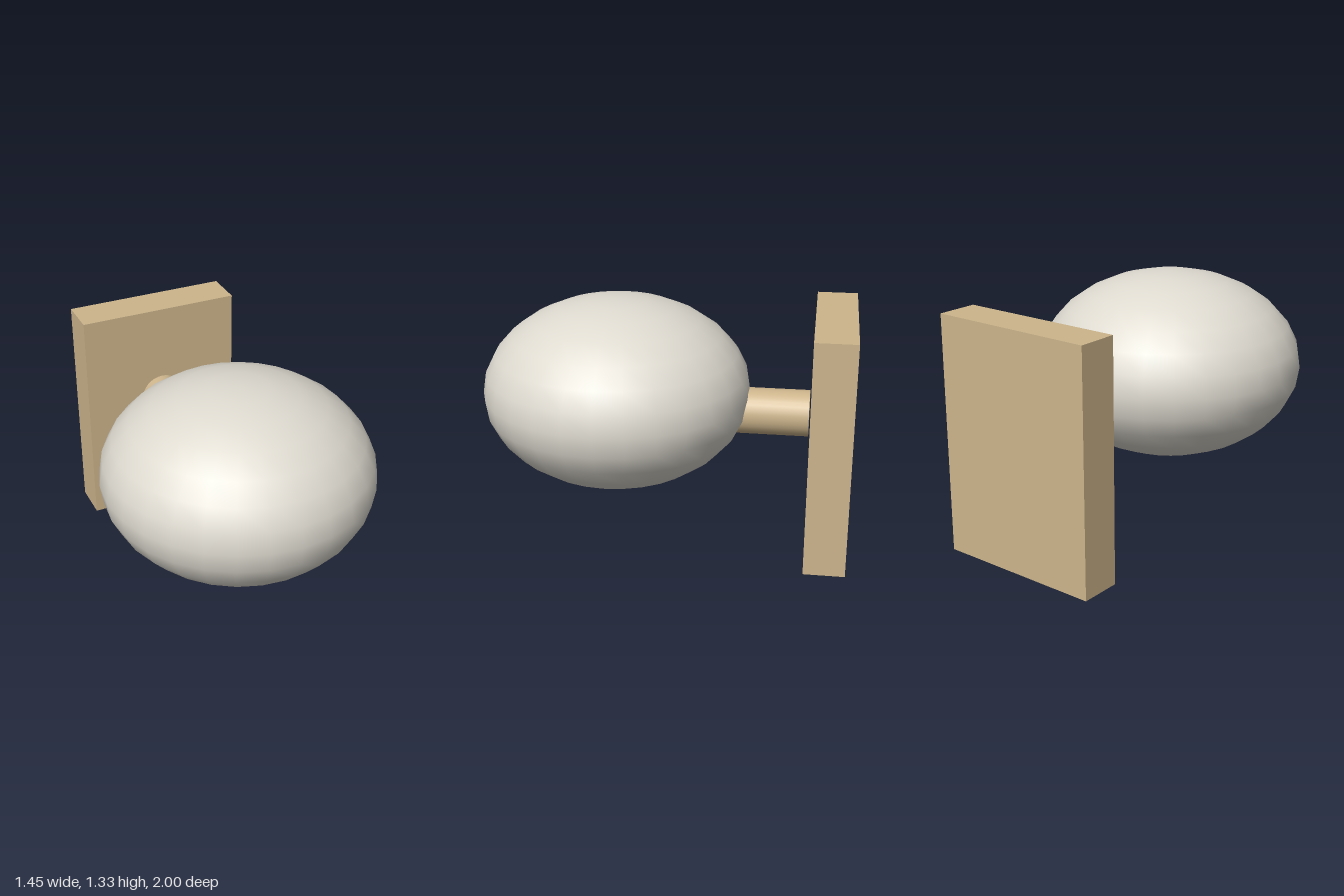
import * as THREE from 'three';

export function createModel() {
  const model = new THREE.Group();
  const wood = new THREE.MeshStandardMaterial({ color: 0xcdb58c });
  wood.name = 'tan';
  const shell = new THREE.MeshStandardMaterial({ color: 0xdedad0 });
  shell.name = 'offWhite';

  const add = (name, geometry, material, x, y, z) => {
    const mesh = new THREE.Mesh(geometry, material);
    mesh.name = name;
    mesh.position.set(x, y, z);
    model.add(mesh);
    return mesh;
  };

  // Upright backing plate
  add('backPlate', new THREE.BoxGeometry(0.91, 1.275, 0.22), wood, 0, 0.6375, -0.89);

  // Round arm, ending just short of the plate and running into the body
  const arm = new THREE.CylinderGeometry(0.125, 0.125, 0.42, 32).rotateX(Math.PI / 2);
  add('arm', arm, wood, 0, 0.728, -0.56);

  // Flattened smooth body
  const body = new THREE.SphereGeometry(1, 28, 14).scale(0.725, 0.507, 0.725);
  add('body', body, shell, 0, 0.82, 0.273);

  return model;
}
